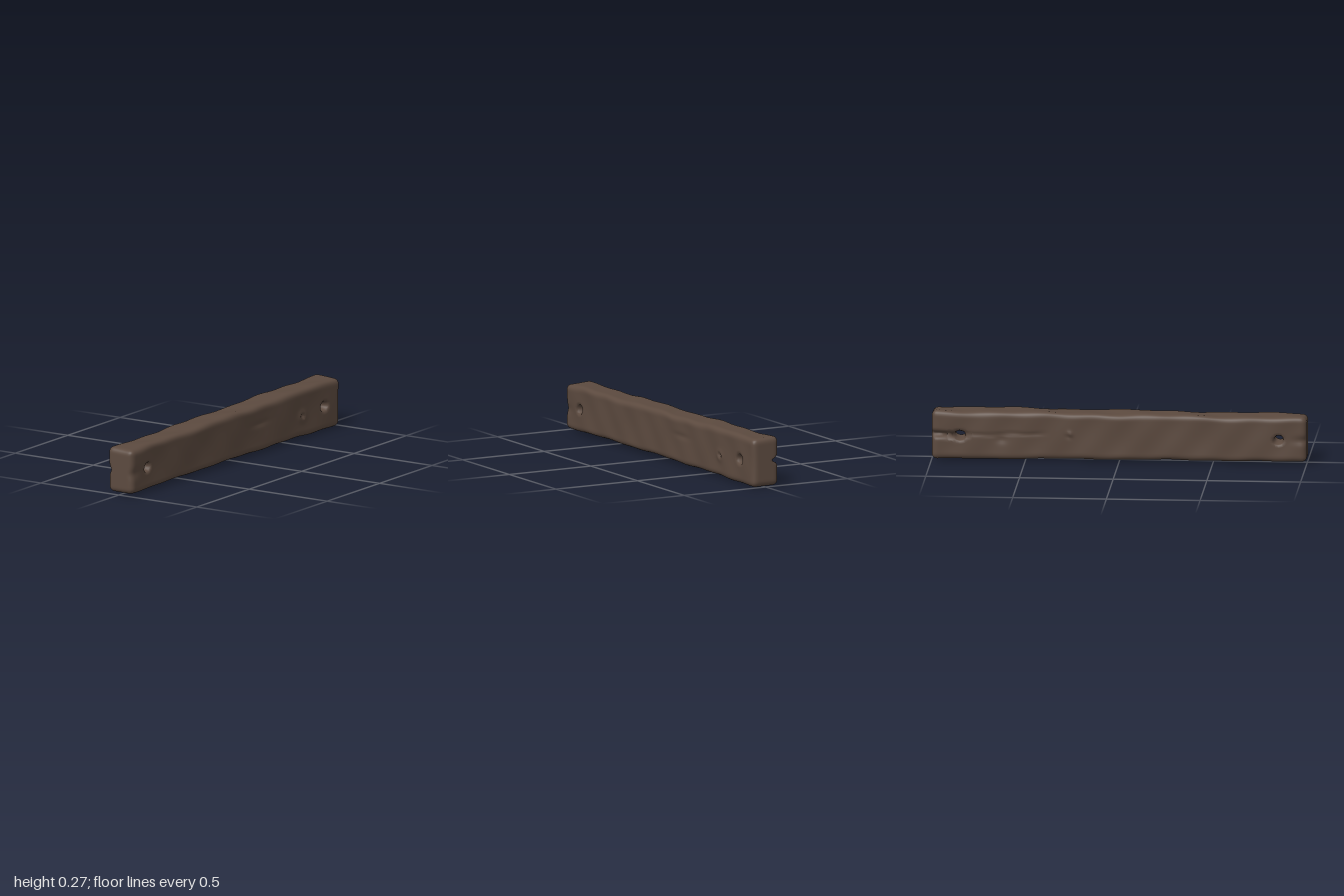
import * as THREE from 'three';

// The beam is a block of small cells with two holes; its outer faces are bent into worn timber.
const CELL = 0.01, NX = 16, NY = 26, NZ = 200;
const HX = 0.08, HY = 0.13, HZ = 1, ROUND = 0.03;
const HOLE_HALF = 0.02, HOLE_REACH = 0.07;
const HOLES = [
  { z: 0.85, rz: 0.022, ry: 0.02 },
  { z: -0.85, rz: 0.027, ry: 0.02 },
];

// Dents (positive depth) and bumps (negative depth) on the left (+1) or right (-1) flank
const MARKS = [
  { side: 1, z: -0.64, y: 0.12, rz: 0.03, ry: 0.026, depth: -0.011 },  // knot rim
  { side: 1, z: -0.64, y: 0.122, rz: 0.013, ry: 0.012, depth: 0.022 }, // knot pit
  { side: 1, z: -0.23, y: 0.16, rz: 0.07, ry: 0.014, depth: 0.005 },   // worn streak
  { side: 1, z: 1, y: 0.12, rz: 0.06, ry: 0.025, depth: 0.008 },
  { side: -1, z: 1, y: 0.13, rz: 0.06, ry: 0.02, depth: 0.012 },
  { side: -1, z: -0.26, y: 0.15, rz: 0.012, ry: 0.014, depth: -0.009 }, // knot
  { side: -1, z: -0.27, y: 0.135, rz: 0.014, ry: 0.01, depth: 0.005 },
  { side: -1, z: -0.63, y: 0.115, rz: 0.03, ry: 0.02, depth: 0.006 },
];

const { clamp, lerp, smoothstep } = THREE.MathUtils;
const bell = (t) => Math.exp(-t * t);

function roundHole(p, hole) {
  const dz = p.z - hole.z, dy = p.y;
  const s = Math.max(Math.abs(dz), Math.abs(dy));
  if (s > HOLE_REACH || s === 0) return;
  const t = smoothstep(s, HOLE_HALF, HOLE_REACH);
  const k = s / Math.hypot(dz, dy) / HOLE_HALF;
  const flare = 0.012 * Math.pow(Math.abs(p.x) / HX, 4);
  p.z = hole.z + dz * lerp(k * (hole.rz + flare), 1, t);
  p.y = dy * lerp(k * (hole.ry + flare), 1, t);
}

function roundEdges(p) {
  const inner = new THREE.Vector3(
    clamp(p.x, ROUND - HX, HX - ROUND),
    clamp(p.y, ROUND - HY, HY - ROUND),
    clamp(p.z, ROUND - HZ, HZ - ROUND));
  const d = p.clone().sub(inner);
  const len = d.length();
  if (len > 0) {
    const most = Math.max(Math.abs(d.x), Math.abs(d.y), Math.abs(d.z));
    p.copy(inner).addScaledVector(d, most / len);
  }
}

function weather(p) {
  const { x, y, z } = p;
  const u = x / HX, v = y / HY;
  // Uneven height, slight skew and hewn waves along the length
  const top = 0.259 - 0.007 * z + 0.003 * Math.sin(z * 9 + u) + 0.002 * Math.sin(z * 23 + 2 * u);
  const bottom = 0.012 + 0.005 * z - 0.006 * z * z
    + 0.002 * Math.sin(z * 11 + 1.5 * u) + 0.0015 * Math.sin(z * 27 - u);
  p.y = lerp(bottom, top, (v + 1) / 2);
  p.x += 0.005 * z + u * (0.0015 * Math.sin(z * 13 + v * 2 + u)
    + 0.0015 * Math.sin(z * 29 - v * 3 + u * 2) - 0.002 * (1 - v * v));

  for (const m of MARKS) {
    if (u * m.side <= 0) continue;
    p.x -= u * m.depth * bell((z - m.z) / m.rz) * bell((p.y - m.y) / m.ry);
  }
  // Split from the back hole: wide to the end, hairline along the flank
  if (u < 0) {
    const wide = 1 - smoothstep(z, -0.88, -0.78);
    const hair = 1 - smoothstep(z, -0.45, -0.36);
    const line = 0.137 + 0.03 * Math.max(0, z + 0.85) + 0.003 * Math.sin(z * 30);
    const cut = 0.03 * wide * bell((p.y - line) / 0.014) + 0.005 * hair * bell((p.y - line) / 0.008);
    p.x -= u * cut;
  }
}

function beamGeometry() {
  const solid = (i, j, k) => {
    if (i < 0 || j < 0 || k < 0 || i >= NX || j >= NY || k >= NZ) return false;
    const y = (j + 0.5) * CELL - HY, z = (k + 0.5) * CELL - HZ;
    return !HOLES.some((h) => Math.abs(y) < HOLE_HALF && Math.abs(z - h.z) < HOLE_HALF);
  };
  const positions = [], index = [], ids = new Map();
  const vertex = (c) => {
    const key = c.join();
    if (!ids.has(key)) {
      const p = new THREE.Vector3(c[0] * CELL - HX, c[1] * CELL - HY, c[2] * CELL - HZ);
      HOLES.forEach((h) => roundHole(p, h));
      roundEdges(p);
      weather(p);
      ids.set(key, positions.length / 3);
      positions.push(p.x, p.y, p.z);
    }
    return ids.get(key);
  };

  for (let i = 0; i < NX; i++) for (let j = 0; j < NY; j++) for (let k = 0; k < NZ; k++) {
    if (!solid(i, j, k)) continue;
    for (let axis = 0; axis < 3; axis++) for (const dir of [0, 1]) {
      const next = [i, j, k];
      next[axis] += dir ? 1 : -1;
      if (solid(...next)) continue;
      const b = (axis + 1) % 3, c = (axis + 2) % 3;
      const quad = [[0, 0], [1, 0], [1, 1], [0, 1]].map(([s, t]) => {
        const corner = [i, j, k];
        corner[axis] += dir;
        corner[b] += s;
        corner[c] += t;
        return vertex(corner);
      });
      if (!dir) quad.reverse();
      index.push(quad[0], quad[1], quad[2], quad[0], quad[2], quad[3]);
    }
  }

  const geometry = new THREE.BufferGeometry();
  geometry.setAttribute('position', new THREE.Float32BufferAttribute(positions, 3));
  geometry.setIndex(index);
  geometry.computeVertexNormals();
  // Stand on the ground, centred
  geometry.computeBoundingBox();
  const box = geometry.boundingBox;
  geometry.translate(-(box.min.x + box.max.x) / 2, -box.min.y, -(box.min.z + box.max.z) / 2);
  return geometry;
}

export function createModel() {
  const group = new THREE.Group();
  group.name = 'timberBeam';
  const wood = new THREE.MeshStandardMaterial({ color: 0x5c4a3f });
  wood.name = 'darkWood';
  const beam = new THREE.Mesh(beamGeometry(), wood);
  beam.name = 'beam';
  group.add(beam);
  return group;
}
